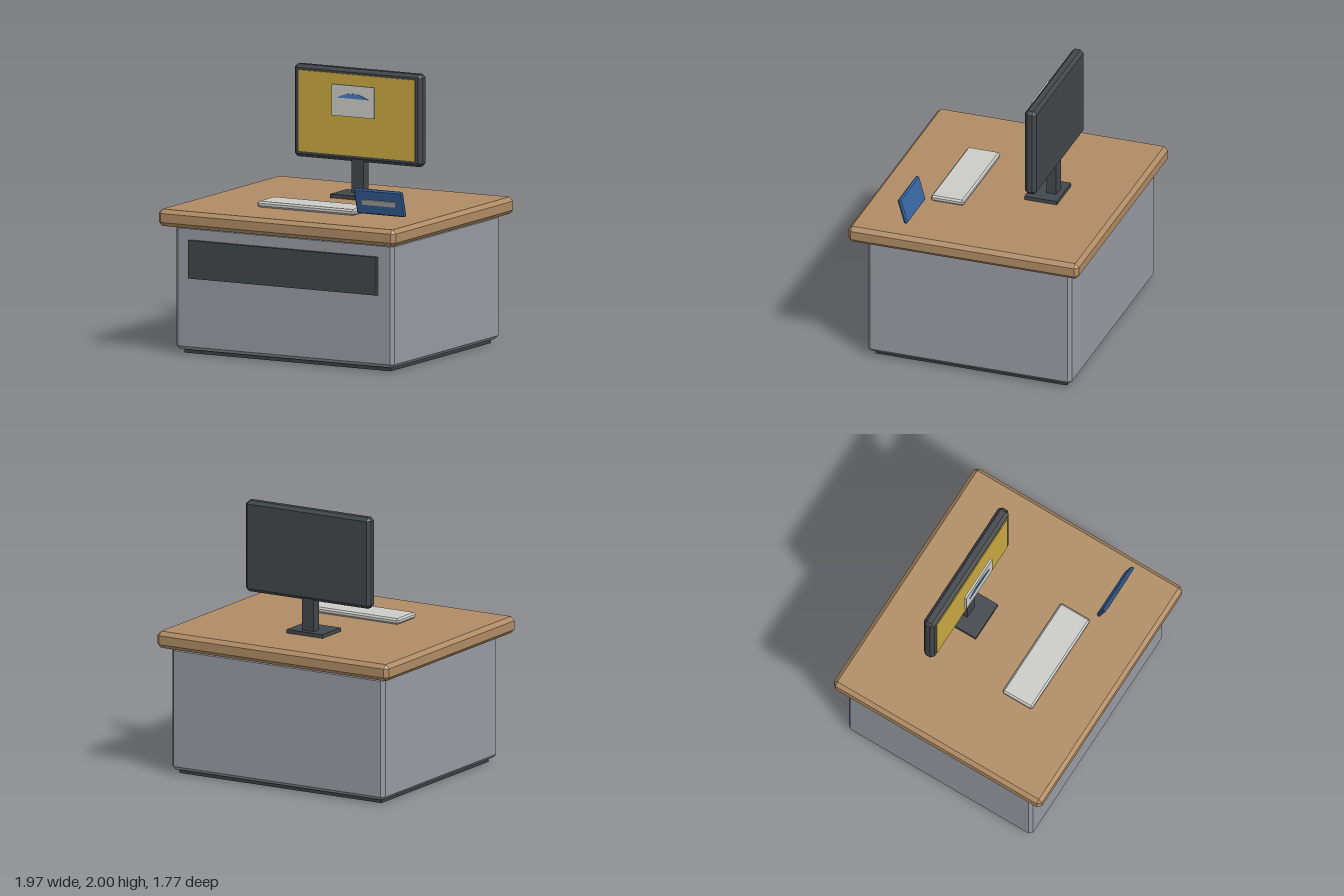
import * as THREE from 'three';
import { ConvexGeometry } from 'three/addons/geometries/ConvexGeometry.js';

const material = (name, color, side = THREE.FrontSide) =>
  new THREE.MeshStandardMaterial({ name, color, side });

// Box with every edge cut by a single flat chamfer c
function chamferBox(w, h, d, c) {
  const points = [];
  for (const sx of [-1, 1]) for (const sy of [-1, 1]) for (const sz of [-1, 1]) {
    const x = w / 2, y = h / 2, z = d / 2;
    points.push(
      new THREE.Vector3(sx * x, sy * (y - c), sz * (z - c)),
      new THREE.Vector3(sx * (x - c), sy * y, sz * (z - c)),
      new THREE.Vector3(sx * (x - c), sy * (y - c), sz * z));
  }
  return new ConvexGeometry(points);
}

export function createModel() {
  const model = new THREE.Group();
  model.name = 'deskWithMonitor';
  const wood = material('wood', 0xb08c65);
  const grey = material('cabinetGrey', 0x989ba3);
  const dark = material('darkGrey', 0x42474b);
  const black = material('plinthDark', 0x3c4043);
  const yellow = material('screenYellow', 0xc9a840);
  const pale = material('paleGrey', 0xcbccc7);
  const blue = material('cardBlue', 0x3866a3);
  const brightBlue = material('brightBlue', 0x467cc0);
  const silver = material('silver', 0xb3b2b0);

  // Adds a box given its [min, max] extents on each axis
  function box(name, mat, [x0, x1], [y0, y1], [z0, z1], chamfer = 0, parent = model) {
    const size = [x1 - x0, y1 - y0, z1 - z0];
    const geometry = chamfer ? chamferBox(...size, chamfer) : new THREE.BoxGeometry(...size);
    const mesh = new THREE.Mesh(geometry, mat);
    mesh.name = name;
    mesh.position.set((x0 + x1) / 2, (y0 + y1) / 2, (z0 + z1) / 2);
    parent.add(mesh);
    return mesh;
  }

  // Desk
  box('plinth', black, [-0.86, 0.86], [0, 0.06], [-0.76, 0.71]);
  box('cabinet', grey, [-0.907, 0.907], [0.03, 0.945], [-0.807, 0.763], 0.025);
  box('frontPanel', dark, [-0.783, 0.783], [0.56, 0.84], [0.75, 0.79]);
  box('tableTop', wood, [-0.987, 0.987], [0.942, 1.066], [-0.887, 0.887], 0.029);

  // Monitor
  box('monitorFoot', dark, [-0.153, 0.153], [1.066, 1.094], [-0.43, -0.18]);
  box('monitorNeck', dark, [-0.05, 0.05], [1.09, 1.345], [-0.388, -0.315]);
  box('monitorCase', dark, [-0.532, 0.532], [1.322, 2], [-0.4, -0.31], 0.024);
  box('screen', yellow, [-0.483, 0.483], [1.365, 1.96], [-0.312, -0.303]);

  // Picture standing clear of the screen, with a low arched mark
  box('picture', pale, [-0.178, 0.178], [1.66, 1.89], [-0.262, -0.245]);
  const arch = new THREE.Shape([[-0.133, 0], [-0.09, 0.018], [-0.042, 0.034],
    [0.042, 0.034], [0.09, 0.018], [0.133, 0]].map(p => new THREE.Vector2(...p)));
  const mark = new THREE.Mesh(
    new THREE.ExtrudeGeometry(arch, { depth: 0.008, bevelEnabled: false }), brightBlue);
  mark.name = 'archMark';
  mark.position.set(0, 1.795, -0.246);
  model.add(mark);

  // Keyboard
  box('keyboard', pale, [-0.403, 0.403], [1.066, 1.11], [0.2, 0.452], 0.013);

  // Leaning card with a label strip
  const card = new THREE.Group();
  card.name = 'card';
  card.position.set(0.655, 1.193, 0.508);
  card.rotation.x = 0.28;
  box('cardPlate', blue, [-0.202, 0.202], [-0.099, 0.099], [-0.014, 0.014], 0.01, card);
  box('cardStrip', silver, [-0.14, 0.14], [-0.02, 0.02], [0.01, 0.022], 0, card);
  model.add(card);

  return model;
}
